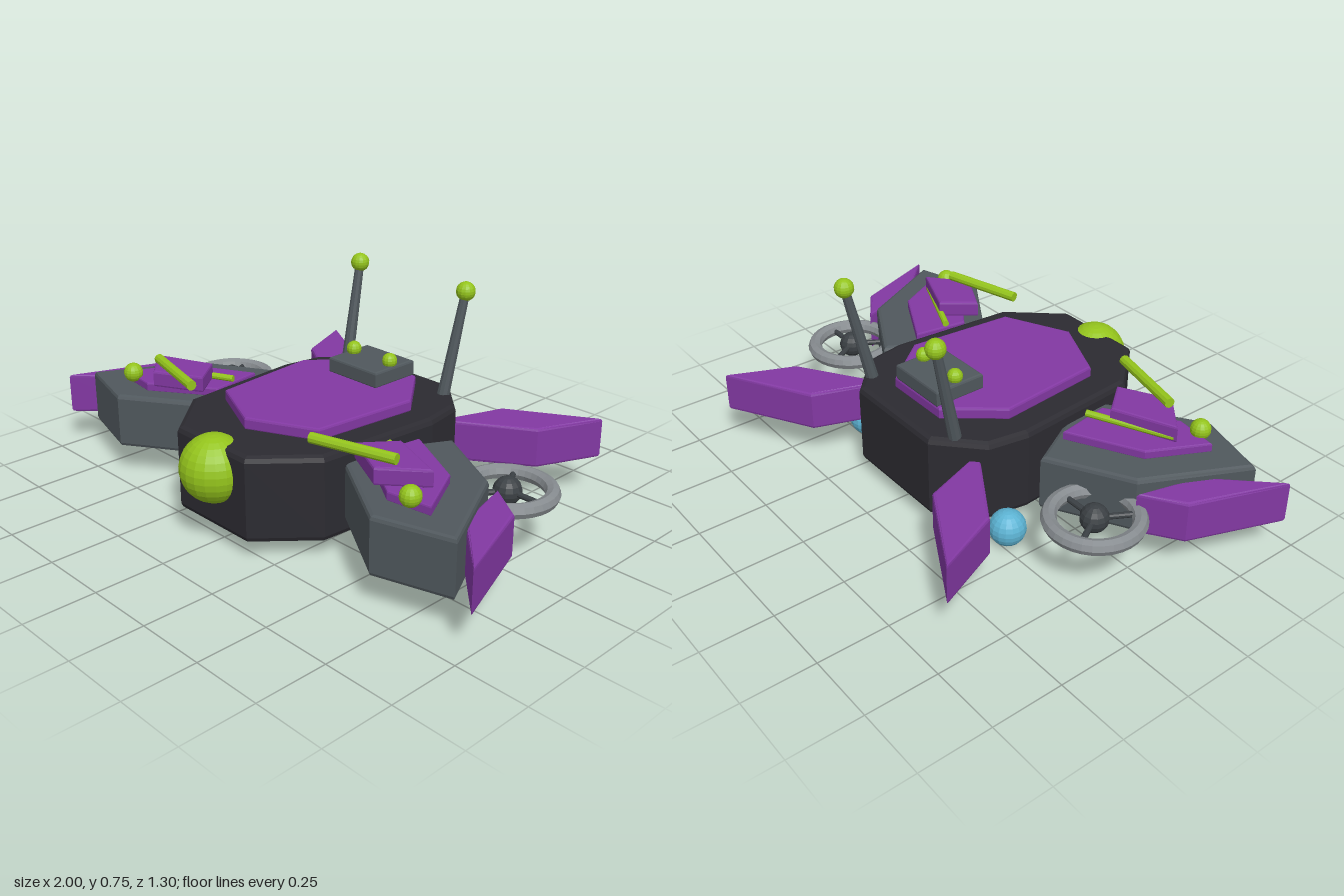
import * as THREE from 'three';

const mat = (name, color) => {
  const m = new THREE.MeshStandardMaterial({ color });
  m.name = name;
  return m;
};

export function createModel() {
  const model = new THREE.Group();
  model.name = 'aircraft';
  const black = mat('hull black', 0x2c2b31);
  const gray = mat('slate gray', 0x50585d);
  const purple = mat('purple', 0x8238a2);
  const green = mat('lime', 0x94c41c);
  const blue = mat('sky blue', 0x5cb3d3);
  const metal = mat('rotor metal', 0x868b8f);
  const dark = mat('rotor dark', 0x3b4044);

  const add = (name, geo, material, parent = model) => {
    const m = new THREE.Mesh(geo, material);
    m.name = name;
    parent.add(m);
    return m;
  };
  const flat = (geo) => {
    const g = geo.toNonIndexed();
    g.computeVertexNormals();
    return g;
  };

  // Upright slab with bevelled edges from an [x, z] outline
  const slab = (name, pts, y0, y1, bevel, material) => {
    const shape = new THREE.Shape(pts.map(([x, z]) => new THREE.Vector2(x, -z)));
    const geo = new THREE.ExtrudeGeometry(shape, {
      depth: y1 - y0 - 2 * bevel, bevelEnabled: true, bevelThickness: bevel,
      bevelSize: bevel, bevelOffset: -bevel, bevelSegments: 2,
    });
    geo.rotateX(-Math.PI / 2).translate(0, y0 + bevel, 0);
    return add(name, geo, material);
  };
  const ball = (name, x, y, z, r, material, seg = 16) =>
    add(name, flat(new THREE.SphereGeometry(r, seg, Math.round(seg * 0.75))), material).position.set(x, y, z);
  const rod = (name, a, b, r0, r1, material, parent = model) => {
    const p = new THREE.Vector3(...a), q = new THREE.Vector3(...b);
    const m = add(name, flat(new THREE.CylinderGeometry(r1, r0, p.distanceTo(q), 10)), material, parent);
    m.position.copy(p).add(q).multiplyScalar(0.5);
    m.quaternion.setFromUnitVectors(new THREE.Vector3(0, 1, 0), q.sub(p).normalize());
  };
  // Full outline from its +x half, listed back to front
  const mirrored = (half) => [...half, ...half.filter(([x]) => x > 0).reverse().map(([x, z]) => [-x, z])];

  // Hull, deck, nose and console
  slab('hull', mirrored([[0.2, -0.38], [0.345, -0.245], [0.37, -0.1], [0.335, 0.36], [0.17, 0.545]]), 0.06, 0.36, 0.02, black);
  slab('deckPlate', mirrored([[0.125, -0.28], [0.27, -0.1], [0.235, 0.29], [0, 0.4]]), 0.355, 0.4, 0.008, purple);
  ball('nose', 0, 0.265, 0.53, 0.115, green, 20);
  slab('console', mirrored([[0.115, -0.28], [0.115, -0.088]]), 0.395, 0.455, 0.008, gray);

  for (const s of [1, -1]) {
    const side = s > 0 ? 'left' : 'right';
    const n = (part) => side + part;
    const m = (pts) => pts.map(([x, z]) => [s * x, z]);

    // Wing with swept fins
    slab(n('Wing'), m([[0.445, -0.115], [0.725, 0.04], [0.9, 0.39], [0.635, 0.467], [0.33, 0.27], [0.33, 0.1]]), 0.11, 0.31, 0.014, gray);
    slab(n('WingFin'), m([[0.745, 0.02], [0.88, 0.11], [1, 0.44], [0.8, 0.24]]), 0.13, 0.28, 0.01, purple);
    slab(n('TailFin'), m([[0.275, -0.23], [0.36, -0.48], [0.665, -0.652], [0.567, -0.417]]), 0.145, 0.29, 0.01, purple);

    // Layered plates, rods and lamp on the wing
    slab(n('WingPlate'), m([[0.41, 0.01], [0.655, 0.14], [0.757, 0.34], [0.6, 0.36], [0.38, 0.21]]), 0.305, 0.34, 0.006, purple);
    slab(n('WingUpperPlate'), m([[0.47, 0.16], [0.685, 0.25], [0.55, 0.365], [0.38, 0.275]]), 0.34, 0.4, 0.008, purple);
    rod(n('WingBar'), [s * 0.39, 0.353, 0.13], [s * 0.67, 0.353, 0.255], 0.012, 0.012, green);
    rod(n('Barrel'), [s * 0.298, 0.422, 0.385], [s * 0.59, 0.422, 0.308], 0.018, 0.018, green);
    ball(n('WingLamp'), s * 0.69, 0.355, 0.355, 0.035, green, 14);

    // Antenna, console knob and landing ball
    rod(n('Antenna'), [s * 0.238, 0.33, -0.295], [s * 0.255, 0.71, -0.378], 0.023, 0.016, gray);
    ball(n('AntennaTip'), s * 0.255, 0.717, -0.38, 0.034, green, 14);
    ball(n('ConsoleKnob'), s * 0.088, 0.47, -0.185, 0.027, green, 12);
    ball(n('LandingBall'), s * 0.415, 0.064, -0.222, 0.063, blue, 16);

    // Ring rotor with three spokes
    const rotor = new THREE.Group();
    rotor.name = n('Rotor');
    rotor.position.set(s * 0.69, 0.214, -0.102);
    model.add(rotor);
    add('rotorRing', flat(new THREE.TorusGeometry(0.143, 0.026, 8, 32).rotateX(Math.PI / 2)), metal, rotor);
    add('rotorHub', flat(new THREE.SphereGeometry(0.048, 12, 9)), dark, rotor);
    for (let i = 0; i < 3; i++) {
      const a = (i * Math.PI * 2) / 3;
      rod('rotorSpoke', [0, 0, 0], [0.143 * Math.cos(a), 0, 0.143 * Math.sin(a)], 0.01, 0.01, dark, rotor);
    }
  }
  return model;
}
